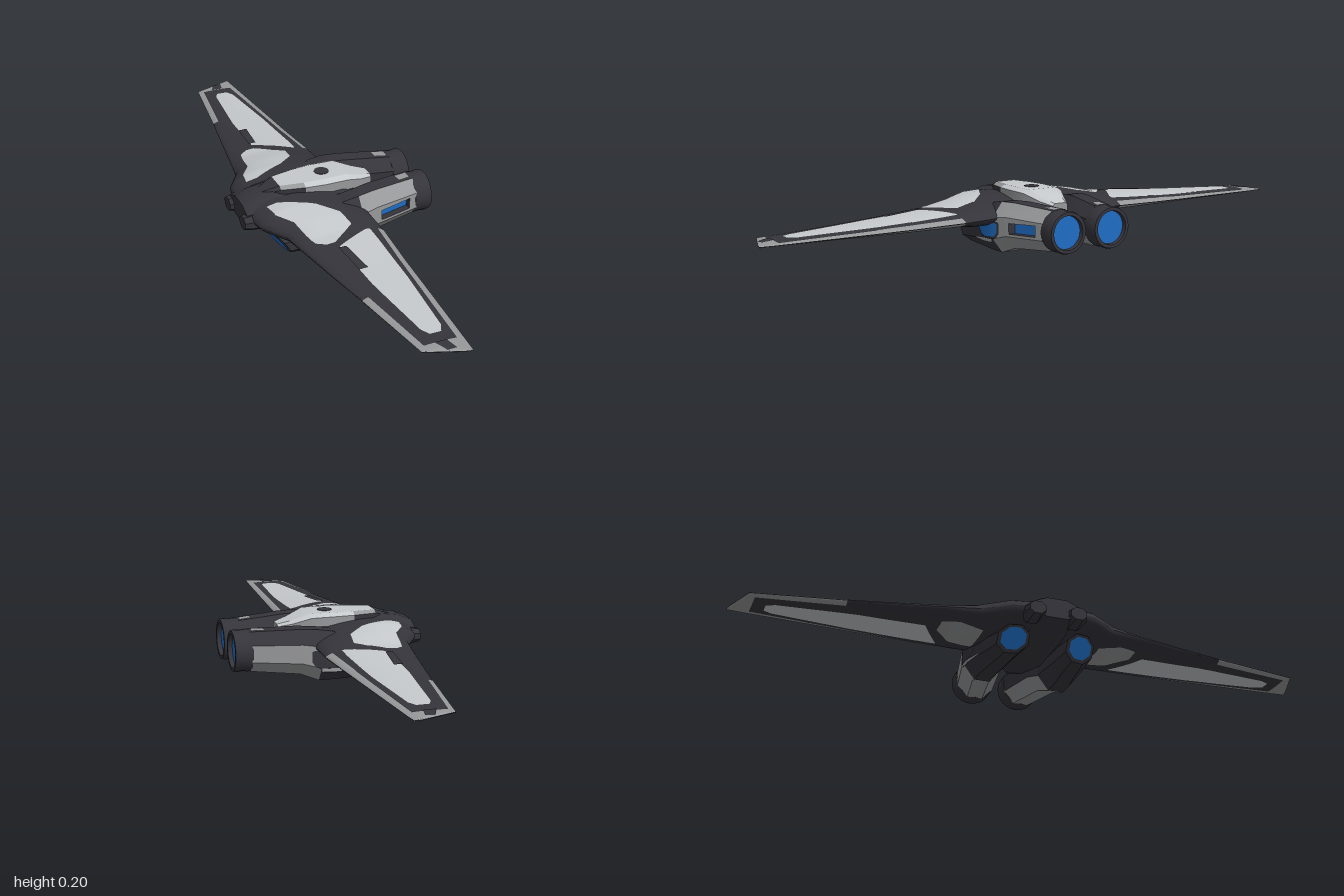
import * as THREE from 'three';
import { toCreasedNormals } from 'three/addons/utils/BufferGeometryUtils.js';

const material = (name, color) => Object.assign(new THREE.MeshStandardMaterial({ color }), { name });

// Interpolate one column of a table whose rows are sorted by their first value
function at(table, v, col) {
  let i = 0;
  while (i < table.length - 2 && v > table[i + 1][0]) i++;
  const a = table[i], b = table[i + 1];
  const t = Math.min(1, Math.max(0, (v - a[0]) / (b[0] - a[0])));
  return a[col] + (b[col] - a[col]) * t;
}

const quad = (a, b, c, d) => [[a, b, c], [a, c, d]];

// Eight-sided ring; section = [x, zCentre, halfWidth, yBottom, yTop, shear, sweep]
function ring([x, zc, hw, yb, yt, shear = 0, sweep = 0], chamfer = 0.29, scale = 1) {
  const cy = (yb + yt) / 2, hh = ((yt - yb) / 2) * scale, w = hw * scale, k = 1 - 2 * chamfer;
  const outline = [[1, -k], [1, k], [k, 1], [-k, 1], [-1, k], [-1, -k], [-k, -1], [k, -1]];
  return outline.map(([z, y]) => [x - shear * (cy + y * hh - yb) + sweep * z * w, cy + y * hh, zc + z * w]);
}

const fan = (r, flip) => r.slice(2).map((p, i) => (flip ? [r[0], p, r[i + 1]] : [r[0], r[i + 1], p]));

// Skin sections running along x, optionally only some of the eight facets
function loft(sections, facets = null, chamfer = 0.29) {
  const rings = sections.map((s) => ring(s, chamfer)), tris = [];
  for (let i = 0; i < rings.length - 1; i++)
    for (const k of facets ?? [0, 1, 2, 3, 4, 5, 6, 7]) {
      const n = (k + 1) % 8;
      tris.push(...quad(rings[i][k], rings[i + 1][k], rings[i + 1][n], rings[i][n]));
    }
  if (!facets) tris.push(...fan(rings[0], false), ...fan(rings[rings.length - 1], true));
  return tris;
}

// Wing plan: z, leading x, trailing x, mid height, half thickness
const WING = [
  [0.06, -0.305, 0.07, 0.122, 0.052], [0.14, -0.29, 0.07, 0.122, 0.05],
  [0.23, -0.235, 0.07, 0.118, 0.042], [0.31, -0.222, 0.07, 0.115, 0.028],
  [0.5, -0.19, 0.055, 0.11, 0.02], [0.65, -0.165, 0.045, 0.108, 0.014],
  [0.95, -0.12, 0.024, 0.104, 0.005], [1, 0.01, 0.02, 0.104, 0.002],
];

function wingY(x, z, side) {
  const x0 = at(WING, z, 1), x1 = at(WING, z, 2);
  const t = Math.min(1, Math.max(0, (x - x0) / (x1 - x0))) ** 0.85;
  return at(WING, z, 3) + side * at(WING, z, 4) * (4 * t * (1 - t)) ** 0.6;
}

// Sheet lying on the wing; rows = [z, xStart, xEnd]
function drape(rows, side, lift = 0, cols = 20, steps = 5) {
  const grid = [], tris = [];
  for (let i = 0; i < rows.length - 1; i++)
    for (let s = i ? 1 : 0; s <= steps; s++) {
      const z = rows[i][0] + ((rows[i + 1][0] - rows[i][0]) * s) / steps;
      const a = at(rows, z, 1), b = at(rows, z, 2), line = [];
      for (let j = 0; j <= cols; j++) {
        const x = a + (b - a) * (0.5 - 0.5 * Math.cos((Math.PI * j) / cols));
        line.push([x, wingY(x, z, side) + side * lift, z]);
      }
      grid.push(line);
    }
  for (let i = 0; i < grid.length - 1; i++)
    for (let j = 0; j < cols; j++) {
      const a = grid[i][j], b = grid[i][j + 1], c = grid[i + 1][j + 1], d = grid[i + 1][j];
      tris.push(...(side > 0 ? quad(a, d, c, b) : quad(a, b, c, d)));
    }
  return tris;
}

export function createModel() {
  const dark = material('charcoal hull', 0x35343b);
  const mid = material('mid grey hull', 0x97989a);
  const light = material('light grey panels', 0xc5c9cc);
  const blue = material('blue glow', 0x1f6cc2);
  const group = new THREE.Group();

  // Triangles are modelled on the +z half and repeated for each listed side
  const add = (name, tris, mat, sides = [1, -1]) => {
    for (const s of sides) {
      const pos = tris.flatMap(([a, b, c]) => (s > 0 ? [a, b, c] : [a, c, b]))
        .flatMap(([x, y, z]) => [x, y, z * s]);
      const g = new THREE.BufferGeometry();
      g.setAttribute('position', new THREE.Float32BufferAttribute(pos, 3));
      const mesh = new THREE.Mesh(toCreasedNormals(g, 0.5), mat);
      mesh.name = sides.length > 1 ? name + (s > 0 ? 'Front' : 'Back') : name;
      group.add(mesh);
    }
  };

  // Wings with edge strips and inset panels on both faces
  const plan = WING.map(([z, a, b]) => [z, a, b]);
  const mainPanel = [[0.31, 0.005, 0.02], [0.38, -0.12, 0.02], [0.6, -0.11, 0.012],
    [0.86, -0.08, -0.01], [0.89, -0.065, -0.025]];
  const leading = [0.65, 0.8, 0.93].map((z) => [z, at(WING, z, 1), at(WING, z, 1) + 0.02]);
  const trailing = [0.31, 0.5, 0.65, 0.93].map((z) => [z, at(WING, z, 2) - 0.022, at(WING, z, 2)]);
  const tip = [0.93, 0.95, 1].map((z) => [z, at(WING, z, 1), at(WING, z, 2)]);
  for (const [side, label] of [[1, 'Top'], [-1, 'Bottom']]) {
    add('wing' + label, drape(plan, side), dark);
    add('wingPanel' + label, drape(mainPanel, side, 0.003), light);
    add('leadingStrip' + label, drape(leading, side, 0.0015, 8), mid);
    add('trailingStrip' + label, drape(trailing, side, 0.0015, 8), mid);
    add('wingTip' + label, drape(tip, side, 0.0015), mid);
  }
  add('tipMark', drape([[0.93, -0.07, -0.03], [0.975, -0.05, -0.02]], 1, 0.003, 6), dark);
  add('wingSlot', drape([[0.39, -0.125, -0.1], [0.52, -0.115, -0.085]], 1, 0.006, 6), dark);
  add('shoulderPanel', drape([[0.09, -0.25, -0.21], [0.15, -0.24, -0.1], [0.21, -0.2, -0.04],
    [0.28, -0.19, -0.03], [0.33, -0.18, -0.09], [0.355, -0.15, -0.12]], 1, 0.003), light);
  add('rootPanelBottom', drape([[0.2, -0.17, -0.03], [0.28, -0.18, -0.03], [0.34, -0.16, -0.1]],
    -1, 0.003), mid);

  // Central fuselage and the raised spine, dark at its front end
  add('fuselage', loft([[-0.312, 0, 0.08, 0.088, 0.155], [-0.27, 0, 0.09, 0.075, 0.172],
    [-0.2, 0, 0.09, 0.065, 0.182], [0.03, 0, 0.1, 0.06, 0.18], [0.1, 0, 0.06, 0.07, 0.165],
    [0.13, 0, 0.04, 0.08, 0.15]]), dark, [1]);
  const spine = [[-0.235, 0, 0.025, 0.13, 0.178], [-0.18, 0, 0.05, 0.13, 0.197],
    [-0.1, 0, 0.07, 0.13, 0.199], [-0.03, 0, 0.078, 0.13, 0.2], [0.05, 0, 0.075, 0.12, 0.2],
    [0.11, 0, 0.05, 0.11, 0.177], [0.155, 0, 0.03, 0.11, 0.165]];
  add('spineFront', loft(spine.slice(0, 2), [0, 1, 2, 3, 4], 0.14), dark, [1]);
  add('spineTop', loft(spine.slice(1), [2], 0.14), light, [1]);
  add('spineFrontSides', loft(spine.slice(1, 3), [0, 4], 0.14), dark, [1]);
  add('spineFrontShoulders', loft(spine.slice(1, 3), [1, 3], 0.14), mid, [1]);
  add('spineRearShoulders', loft(spine.slice(2), [1, 3], 0.14), light, [1]);
  add('spineRearSides', loft(spine.slice(2), [0, 4, 5, 6, 7], 0.14), mid, [1]);
  add('spineTail', fan(ring(spine[6], 0.14), true), mid, [1]);
  const hatch = new THREE.Mesh(new THREE.CylinderGeometry(0.025, 0.025, 0.006, 20), dark);
  hatch.name = 'spineHatch';
  hatch.position.set(-0.015, 0.1985, 0);
  group.add(hatch);

  // Blunt nose prongs
  add('noseProng', loft([[-0.325, 0.07, 0.027, 0.088, 0.13], [-0.3, 0.07, 0.034, 0.084, 0.135],
    [-0.26, 0.07, 0.036, 0.08, 0.14]]), dark);

  // Engine pods toeing inwards to the rear, with raked intakes
  const front = [-0.19, 0.115, 0.05, 0, 0.078, 0.65, 0.22];
  const joint = [0.05, 0.132, 0.064, 0, 0.17];
  const podFront = [front, [-0.1, 0.122, 0.056, 0, 0.11], [0, 0.132, 0.064, 0, 0.162], joint];
  const podRear = [joint, [0.11, 0.118, 0.067, 0.022, 0.172], [0.27, 0.085, 0.064, 0.034, 0.166]];
  add('podFront', loft(podFront), dark);
  add('podRearSides', loft(podRear, [5, 6, 7]), mid);
  add('podRearTop', loft(podRear, [2, 3, 4]), dark);
  add('podShoulderFront', loft(podRear, [1]), mid, [1]);
  add('podShoulderBack', loft(podRear, [1]), dark, [-1]);
  add('podFlankBack', loft(podRear, [0]), mid, [-1]);
  add('podFlankFront', loft(podRear.slice(0, 2), [0]), mid, [1]);
  add('intakeGlow', fan(ring(front, 0.29, 0.78).map(([x, y, z]) => [x - 0.004, y, z]), false), blue);
  const topAt = (x, z) => [x, at(podRear, x, 4) + 0.002, z];
  add('podTopPatch', quad(topAt(0.22, 0.08), topAt(0.22, 0.11), topAt(0.262, 0.1), topAt(0.262, 0.07)), mid);

  // Plates following the pod flank; rows = [x, yLow, yHigh]
  const pod = [...podFront, ...podRear.slice(1)];
  const flank = (x, y, lift) => [x, y, at(pod, x, 1) + at(pod, x, 2) + lift];
  const flankPlate = (rows, lift = 0.003) => rows.slice(1).flatMap(([x, lo, hi], i) => {
    const [px, pl, ph] = rows[i];
    return quad(flank(px, pl, lift), flank(x, lo, lift), flank(x, hi, lift), flank(px, ph, lift));
  });
  const opening = [[-0.04, 0.076, 0.084], [-0.015, 0.056, 0.09], [0, 0.054, 0.094],
    [0.05, 0.055, 0.103], [0.065, 0.062, 0.104], [0.075, 0.075, 0.1]];
  add('sideWindow', flankPlate(opening, 0.005), blue, [1]);
  add('sideWindowRim', flankPlate(opening.map(([x, lo, hi]) =>
    [x > 0.04 ? x + 0.006 : x, lo - 0.005, hi + 0.005])), dark);
  add('flankStripe', flankPlate([[-0.07, 0.034, 0.04], [0, 0.035, 0.048], [0.05, 0.037, 0.049]]), mid);

  // Recessed rear window: flank frame, pocket walls and glowing floor
  const [a, b] = podRear.slice(1).map((s) => ring(s));
  const outer = [a[0], b[0], b[1], a[1]];
  const rim = [[0.125, 0.075], [0.24, 0.08], [0.24, 0.117], [0.125, 0.11]].map(([x, y]) => flank(x, y, 0));
  const floor = rim.map(([x, y, z]) => [x, y, z - 0.025]);
  const border = (p, q) => p.flatMap((_, k) => quad(p[k], p[(k + 1) % 4], q[(k + 1) % 4], q[k]));
  add('windowFrame', border(outer, rim), mid, [1]);
  add('windowPocket', border(rim, floor), dark, [1]);
  add('rearWindow', quad(...floor), blue, [1]);

  // Nozzle rings with glowing discs
  const profile = [[0.05, 0], [0.067, 0], [0.07, 0.01], [0.068, 0.03], [0.07, 0.05], [0.067, 0.06],
    [0.056, 0.06], [0.053, 0.03]].map(([r, h]) => new THREE.Vector2(r, h));
  for (const s of [1, -1]) {
    const nozzle = new THREE.Group();
    nozzle.name = s > 0 ? 'nozzleFront' : 'nozzleBack';
    const shell = new THREE.Mesh(toCreasedNormals(new THREE.LatheGeometry(profile, 24), 0.5), dark);
    shell.name = 'nozzleRing';
    const glow = new THREE.Mesh(new THREE.CylinderGeometry(0.055, 0.055, 0.006, 24), blue);
    glow.name = 'nozzleGlow';
    glow.position.y = 0.042;
    nozzle.add(shell, glow);
    nozzle.rotation.z = -Math.PI / 2;
    nozzle.position.set(0.265, 0.1, 0.085 * s);
    group.add(nozzle);
  }
  return group;
}
